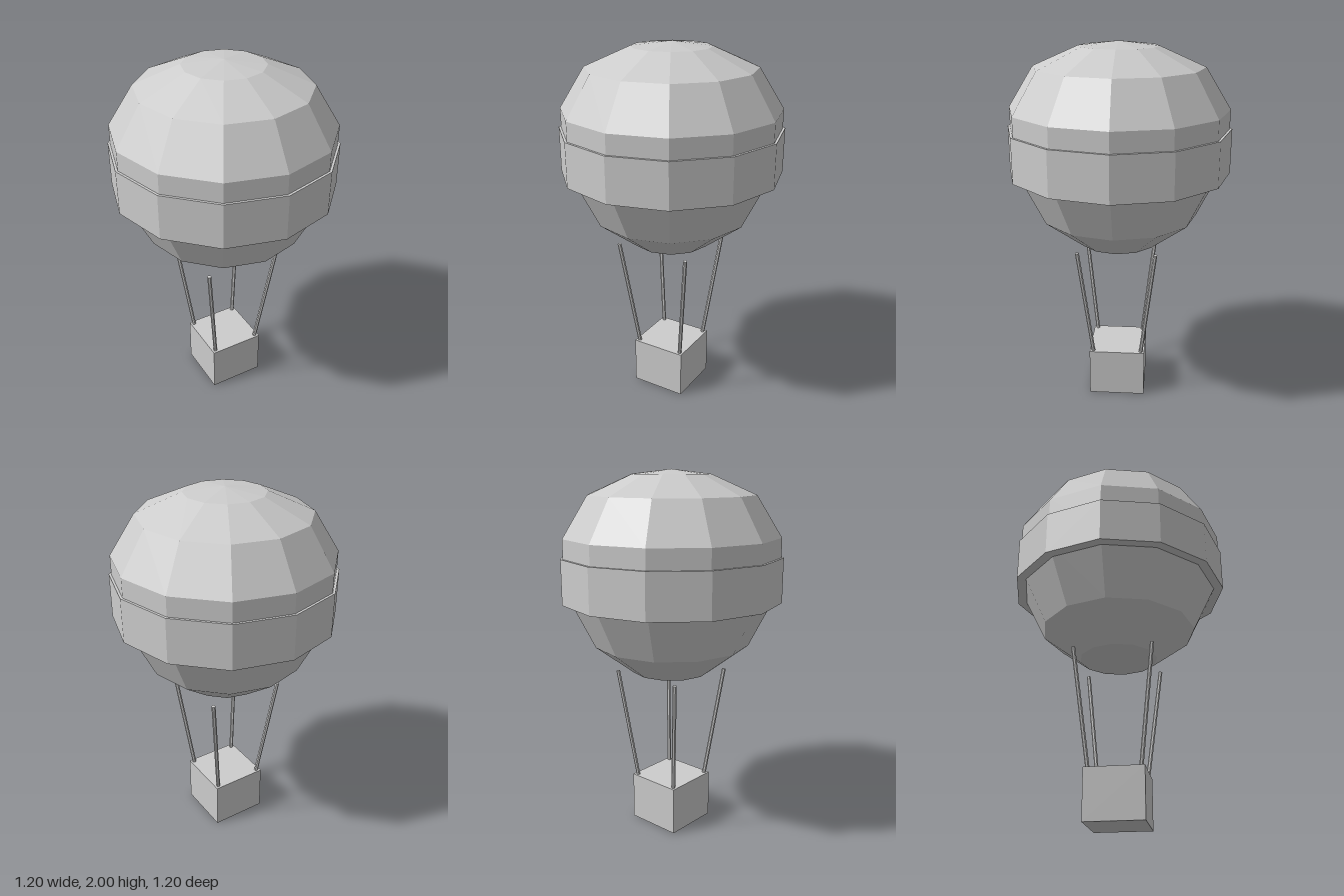
import * as THREE from 'three';

const SIDES = 12;

export function createModel() {
  const model = new THREE.Group();
  model.name = 'hotAirBalloon';
  const grey = new THREE.MeshStandardMaterial({ color: 0xcccccc });
  grey.name = 'light grey';

  // Adds a faceted mesh
  function addPart(name, geometry) {
    const flat = geometry.index ? geometry.toNonIndexed() : geometry;
    flat.computeVertexNormals();
    const mesh = new THREE.Mesh(flat, grey);
    mesh.name = name;
    model.add(mesh);
    return mesh;
  }

  // Envelope: twelve-sided, profile from bottom to top
  const profile = [
    [0, 0.86], [0.215, 0.908], [0.428, 1.07], [0.587, 1.39],
    [0.587, 1.655], [0.452, 1.87], [0.212, 1.975], [0, 2],
  ].map(([r, y]) => new THREE.Vector2(r, y));
  addPart('envelope', new THREE.LatheGeometry(profile, SIDES));

  // Raised band around the envelope
  const bandBottom = 1.312, bandTop = 1.552;
  addPart('band', new THREE.CylinderGeometry(0.6, 0.6, bandTop - bandBottom, SIDES))
    .position.y = (bandBottom + bandTop) / 2;

  // Basket
  addPart('basket', new THREE.BoxGeometry(0.314, 0.27, 0.314)).position.y = 0.135;

  // Four ropes leaning outwards from the basket corners
  const up = new THREE.Vector3(0, 1, 0);
  for (const sx of [-1, 1]) {
    for (const sz of [-1, 1]) {
      const foot = new THREE.Vector3(sx * 0.136, 0.265, sz * 0.136);
      const head = new THREE.Vector3(sx * 0.211, 0.906, sz * 0.211);
      const along = head.clone().sub(foot);
      const rope = addPart('rope', new THREE.CylinderGeometry(0.011, 0.011, along.length(), 6));
      rope.position.copy(foot).add(head).multiplyScalar(0.5);
      rope.quaternion.setFromUnitVectors(up, along.normalize());
    }
  }
  return model;
}
